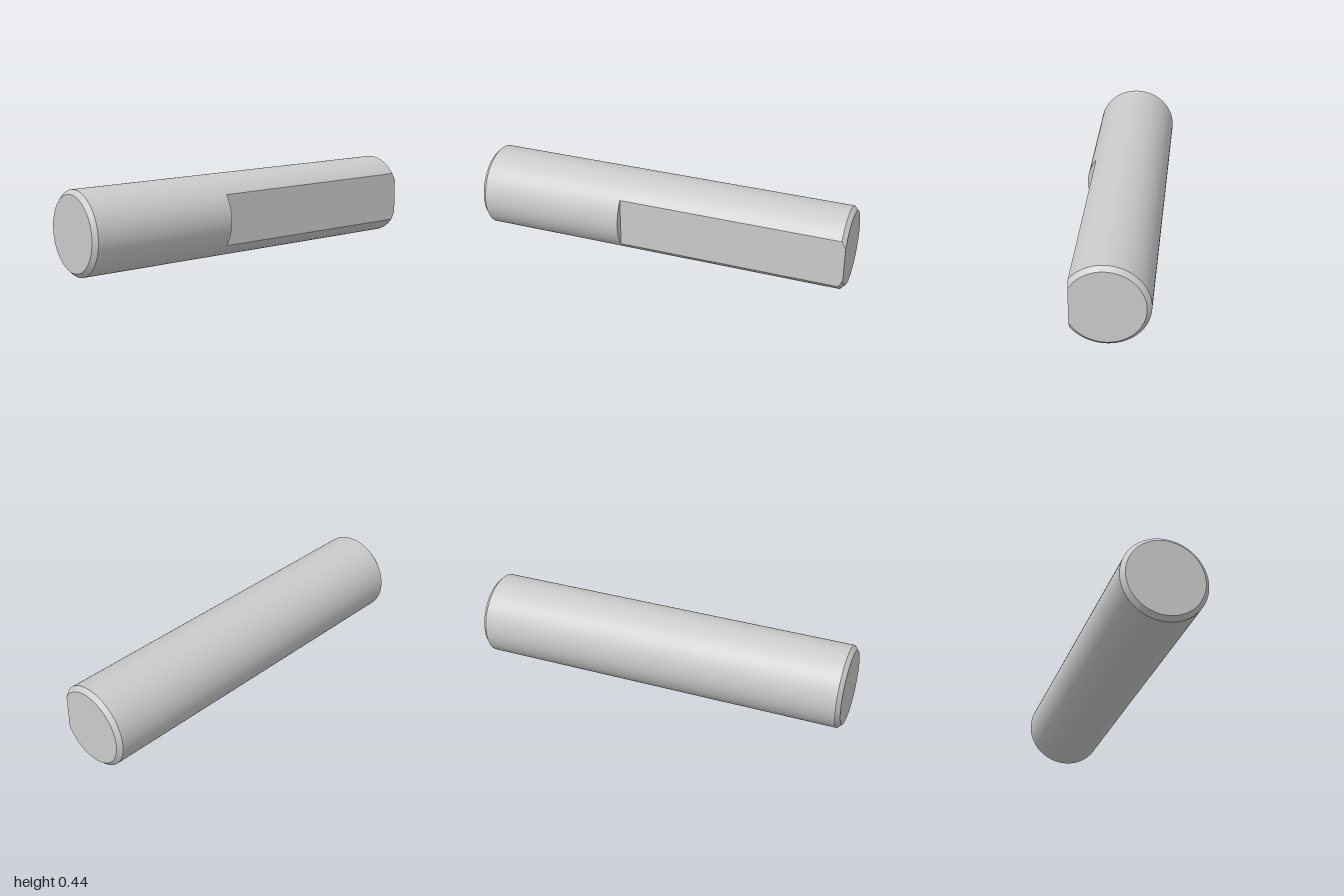
import * as THREE from 'three';
import { toCreasedNormals } from 'three/addons/utils/BufferGeometryUtils.js';

const R = 0.216, CHAMFER = 0.022, FLAT = 0.17;
const ARC = 72, CHORD = 16; // segments on the round part and on the flat part

// Cross-section loop at z: a circle, or a circle cut off at x = FLAT
function ring(r, z, cut) {
  const a = Math.acos(FLAT / (cut ? r : R));
  const points = [];
  for (let i = 0; i < ARC; i++) {
    const t = a + (2 * Math.PI - 2 * a) * i / ARC;
    points.push(new THREE.Vector3(r * Math.cos(t), r * Math.sin(t), z));
  }
  for (let i = 0; i < CHORD; i++) {
    const k = -1 + 2 * i / CHORD;
    points.push(cut
      ? new THREE.Vector3(FLAT, k * r * Math.sin(a), z)
      : new THREE.Vector3(r * Math.cos(k * a), r * Math.sin(k * a), z));
  }
  return points;
}

// Skin consecutive loops, skipping collapsed triangles
function loft(rings) {
  const pos = [];
  const tri = (a, b, c) => {
    const area = b.clone().sub(a).cross(c.clone().sub(a)).length();
    if (area > 1e-9) for (const p of [a, b, c]) pos.push(p.x, p.y, p.z);
  };
  for (let i = 0; i < rings.length - 1; i++) {
    const p = rings[i], q = rings[i + 1];
    for (let j = 0; j < p.length; j++) {
      const k = (j + 1) % p.length;
      tri(p[j], q[j], q[k]);
      tri(p[j], q[k], p[k]);
    }
  }
  const geo = new THREE.BufferGeometry();
  geo.setAttribute('position', new THREE.Float32BufferAttribute(pos, 3));
  return toCreasedNormals(geo, 0.3);
}

export function createModel() {
  const group = new THREE.Group();
  group.name = 'dShaft';
  const centre = z => ring(R, z, false).map(() => new THREE.Vector3(0, 0, z));

  // Round shaft with chamfered ends and a flat milled along the rear part
  const shaft = new THREE.Mesh(loft([
    centre(1),
    ring(R - CHAMFER, 1, false),
    ring(R, 1 - CHAMFER, false),
    ring(R, 0.2, false),
    ring(R, 0.2, true),
    ring(R, -1 + CHAMFER, true),
    ring(R - CHAMFER, -1, true),
    centre(-1),
  ]), new THREE.MeshStandardMaterial({ color: 0xcccccc }));
  shaft.name = 'shaft';

  // Very slight tilt, rear end raised
  shaft.rotation.x = 0.005;
  shaft.position.y = R + 0.005;
  group.add(shaft);
  return group;
}
